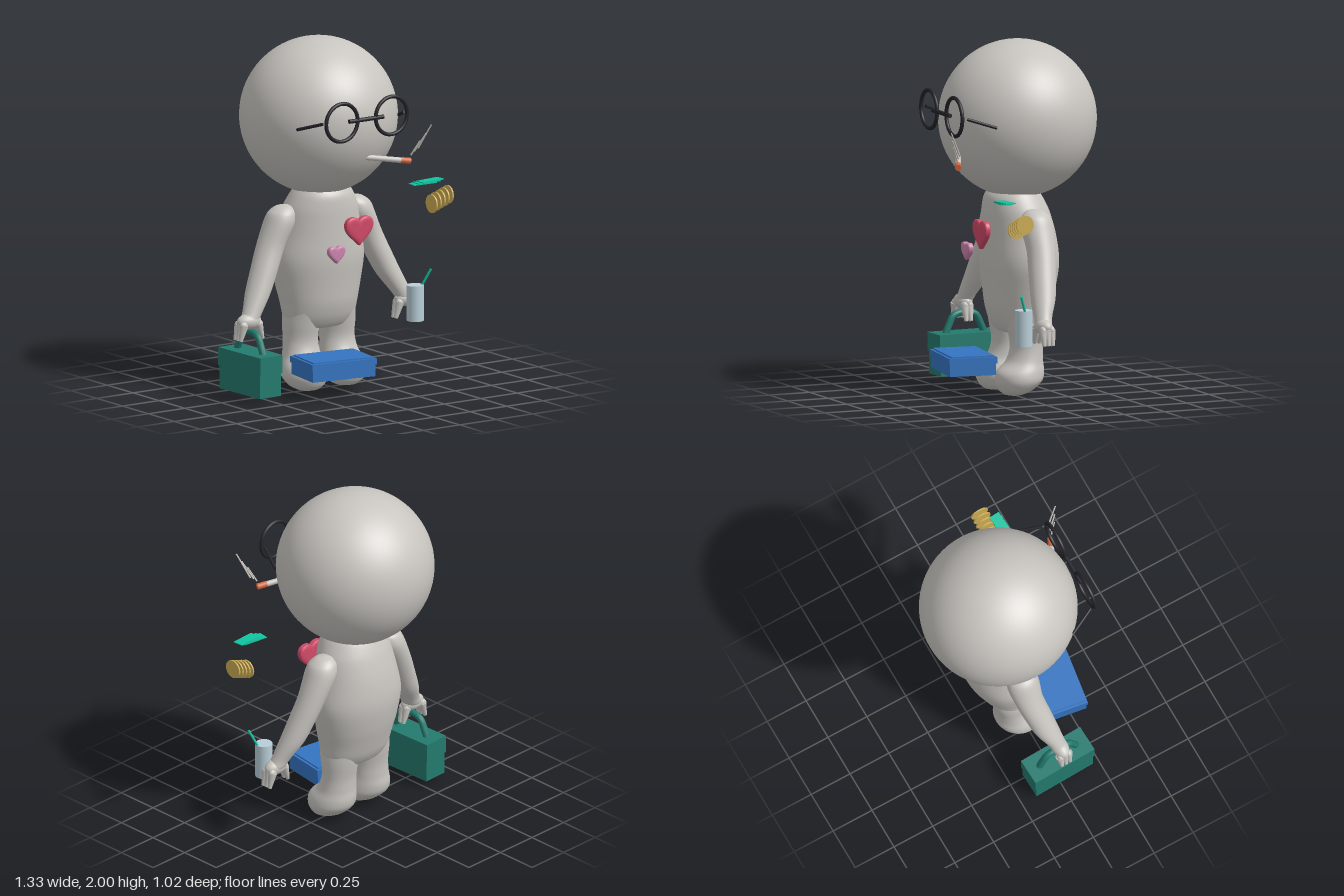
import * as THREE from 'three';

const paint = (name, color) => {
  const m = new THREE.MeshStandardMaterial({ color });
  m.name = name;
  return m;
};

const V = (p) => new THREE.Vector3(...p);
const CX = -0.035; // middle of the figure

// Smooth skin through horizontal ellipses [y, x, z, rx, rz], listed from top to bottom
function loft(sections, rows = 40, cols = 40) {
  const path = new THREE.CatmullRomCurve3(sections.map(([y, x, z]) => new THREE.Vector3(x, y, z)));
  const size = new THREE.CatmullRomCurve3(sections.map(([, , , rx, rz], i) => new THREE.Vector3(rx, rz, i * 0.05)));
  const pos = [], idx = [];
  for (let i = 0; i <= rows; i++) {
    const c = path.getPoint(i / rows), s = size.getPoint(i / rows);
    for (let j = 0; j < cols; j++) {
      const t = (j / cols) * Math.PI * 2;
      pos.push(c.x + Math.cos(t) * s.x, c.y, c.z + Math.sin(t) * s.y);
      if (i === rows) continue;
      const k = (j + 1) % cols, a = i * cols, b = a + cols;
      idx.push(a + j, a + k, b + j, a + k, b + k, b + j);
    }
  }
  const g = new THREE.BufferGeometry();
  g.setAttribute('position', new THREE.Float32BufferAttribute(pos, 3));
  g.setIndex(idx);
  g.computeVertexNormals();
  return g;
}

function heartShape() {
  const s = new THREE.Shape();
  s.moveTo(0, -0.42);
  s.bezierCurveTo(-0.1, -0.28, -0.42, -0.08, -0.42, 0.17);
  s.bezierCurveTo(-0.42, 0.44, -0.08, 0.44, 0, 0.2);
  s.bezierCurveTo(0.08, 0.44, 0.42, 0.44, 0.42, 0.17);
  s.bezierCurveTo(0.42, -0.08, 0.1, -0.28, 0, -0.42);
  return s;
}

export function createModel() {
  const model = new THREE.Group();
  const grey = paint('warm grey', 0xc8c5c0);
  const black = paint('frame black', 0x24242a);
  const orange = paint('ember orange', 0xd4683f);
  const red = paint('heart red', 0xd04a68);
  const pink = paint('heart pink', 0xcc85ac);
  const glass = paint('pale blue', 0xb9ced8);
  const mint = paint('mint green', 0x10c4a0);
  const gold = paint('gold', 0xcdad55);
  const teal = paint('dark teal', 0x237a6e);
  const blue = paint('blue', 0x3474c0);

  const add = (name, geo, mat, p = [0, 0, 0], parent = model) => {
    const m = new THREE.Mesh(geo, mat);
    m.name = name;
    m.position.set(...p);
    parent.add(m);
    return m;
  };
  const box = (name, size, mat, p, parent) => add(name, new THREE.BoxGeometry(...size), mat, p, parent);
  // Round bar from a to b
  const rod = (name, a, b, r0, r1, mat) => {
    const d = V(b).sub(V(a));
    const m = add(name, new THREE.CylinderGeometry(r1, r0, d.length(), 16), mat, V(a).addScaledVector(d, 0.5).toArray());
    m.quaternion.setFromUnitVectors(new THREE.Vector3(0, 1, 0), d.normalize());
    return m;
  };
  const ball = (name, p, r, mat) => {
    const m = add(name, new THREE.SphereGeometry(1, 24, 16), mat, p);
    m.scale.set(...r);
    return m;
  };

  // Head and torso
  add('head', new THREE.SphereGeometry(0.445, 64, 48), grey, [CX, 1.556, -0.066]);
  add('torso', loft([
    [1.17, CX, -0.035, 0.15, 0.12], [1.12, CX, -0.038, 0.185, 0.158], [1.04, CX, -0.052, 0.225, 0.182],
    [0.9, CX, -0.07, 0.255, 0.203], [0.75, CX, -0.076, 0.283, 0.211], [0.6, CX, -0.073, 0.262, 0.192],
    [0.5, CX, -0.065, 0.24, 0.172], [0.42, CX, -0.064, 0.225, 0.147], [0.36, CX, -0.064, 0.19, 0.11],
    [0.33, CX, -0.064, 0.001, 0.001]]), grey);

  for (const s of [1, -1]) {
    const side = s > 0 ? 'left' : 'right';
    const X = (x) => CX + s * x;
    // Leg and rounded foot in one piece
    add(side + 'Leg', loft([
      [0.46, X(0.12), -0.06, 0.1, 0.12], [0.38, X(0.123), -0.064, 0.105, 0.108], [0.28, X(0.125), -0.064, 0.103, 0.092],
      [0.2, X(0.128), -0.05, 0.112, 0.104], [0.14, X(0.133), -0.022, 0.13, 0.136], [0.09, X(0.134), -0.012, 0.133, 0.132],
      [0.04, X(0.132), 0.005, 0.105, 0.095], [0.014, X(0.13), 0.018, 0.06, 0.052], [0.004, X(0.13), 0.02, 0.001, 0.001]]), grey);
    // Arm with domed shoulder
    add(side + 'Arm', loft([
      [1.072, X(0.238), -0.062, 0.001, 0.001], [1.063, X(0.242), -0.062, 0.045, 0.045], [1.03, X(0.254), -0.062, 0.08, 0.08],
      [0.97, X(0.273), -0.063, 0.09, 0.093], [0.85, X(0.332), -0.06, 0.082, 0.082], [0.72, X(0.392), -0.04, 0.079, 0.077],
      [0.6, X(0.45), -0.018, 0.074, 0.07], [0.5, X(0.508), 0.01, 0.06, 0.051], [0.45, X(0.54), 0.02, 0.056, 0.044],
      [0.43, X(0.545), 0.022, 0.001, 0.001]]), grey);
    // Hand: palm, three fingers outside, thumb side inside
    ball(side + 'Palm', [X(0.54), 0.452, 0.022], [0.078, 0.046, 0.047], grey);
    for (const z of [-0.004, 0.022, 0.048]) {
      ball(side + 'Knuckle', [X(0.592), 0.435, z], [0.026, 0.026, 0.019], grey);
      rod(side + 'Finger', [X(0.592), 0.436, z], [X(0.615), 0.35, z], 0.025, 0.011, grey);
    }
    for (const z of [0.01, 0.038]) {
      ball(side + 'ThumbBase', [X(0.485), 0.435, z], [0.026, 0.026, 0.022], grey);
      rod(side + 'Thumb', [X(0.485), 0.436, z], [X(0.458), 0.348, z], 0.025, 0.011, grey);
    }
    // Spectacle rim and temple
    add(side + 'Rim', new THREE.TorusGeometry(0.108, 0.011, 12, 48), black, [X(0.17), 1.61, 0.4]);
    rod(side + 'Temple', [X(0.28), 1.61, 0.37], [X(0.348), 1.56, 0.217], 0.009, 0.009, black);
  }
  rod('spectacleBridge', [-0.155, 1.61, 0.4], [0.08, 1.61, 0.4], 0.012, 0.012, black);

  // Cigarette and smoke
  rod('cigarette', [0.01, 1.372, 0.32], [0.2, 1.346, 0.407], 0.016, 0.016, grey);
  rod('cigaretteTip', [0.195, 1.347, 0.405], [0.247, 1.34, 0.428], 0.018, 0.018, orange);
  for (const [a, b] of [
    [[0.246, 1.375, 0.432], [0.28, 1.46, 0.472]],
    [[0.268, 1.395, 0.435], [0.307, 1.5, 0.49]],
    [[0.292, 1.41, 0.437], [0.332, 1.55, 0.508]]]) rod('smokeWisp', a, b, 0.005, 0.004, grey);

  // Puffy floating hearts
  const heartGeo = new THREE.ExtrudeGeometry(heartShape(), {
    depth: 0.5, bevelEnabled: true, bevelThickness: 0.25, bevelSize: 0.16, bevelOffset: -0.08, bevelSegments: 4, curveSegments: 16 });
  heartGeo.center();
  add('largeHeart', heartGeo, red, [0.055, 0.923, 0.196]).scale.set(0.186, 0.165, 0.042);
  add('smallHeart', heartGeo, pink, [-0.109, 0.808, 0.209]).scale.set(0.112, 0.1, 0.038);

  // Banknotes and coins
  [[0.458, 1.156, 0.25, -0.12], [0.482, 1.162, 0.253, -0.06], [0.503, 1.168, 0.257, 0.06]].forEach(([x, y, z, r]) => {
    box('banknote', [0.148, 0.005, 0.062], mint, [x, y, z]).rotation.set(0, r, 0.02);
  });
  for (let i = 0; i < 5; i++) {
    add('coin', new THREE.CylinderGeometry(0.053, 0.053, 0.009, 32), gold, [0.55 + i * 0.0275, 1.018 + i * 0.01, 0.206])
      .rotation.z = Math.PI / 2;
  }

  // Drink with straw
  add('cup', new THREE.CylinderGeometry(0.049, 0.049, 0.203, 32), glass, [0.487, 0.447, 0.135]);
  rod('straw', [0.515, 0.51, 0.13], [0.56, 0.638, 0.183], 0.007, 0.007, mint);

  // Carrying case held in the right hand
  const carrier = new THREE.Group();
  carrier.name = 'carryingCase';
  carrier.position.set(-0.563, 0, 0.018);
  carrier.rotation.y = 0.037;
  model.add(carrier);
  box('caseBody', [0.148, 0.135, 0.37], teal, [0, 0.113, 0], carrier);
  box('caseLid', [0.157, 0.103, 0.388], teal, [0, 0.229, 0], carrier);
  const arch = new THREE.CatmullRomCurve3([
    [0, 0.26, -0.125], [0, 0.32, -0.1], [0, 0.375, -0.068], [0, 0.392, 0], [0, 0.375, 0.068], [0, 0.32, 0.1], [0, 0.26, 0.125]].map(V));
  add('caseHandle', new THREE.TubeGeometry(arch, 40, 0.02, 12), teal, [0, 0, 0], carrier);

  // Flat box lying in front of the feet
  const flat = new THREE.Group();
  flat.name = 'flatBox';
  flat.position.set(-0.136, 0, 0.22);
  flat.rotation.y = -0.149;
  model.add(flat);
  box('boxBody', [0.392, 0.07, 0.268], blue, [0, 0.16, 0], flat);
  box('boxLid', [0.404, 0.035, 0.28], blue, [0, 0.21, 0], flat);
  box('boxTop', [0.375, 0.009, 0.25], blue, [0, 0.231, 0], flat);

  return model;
}
